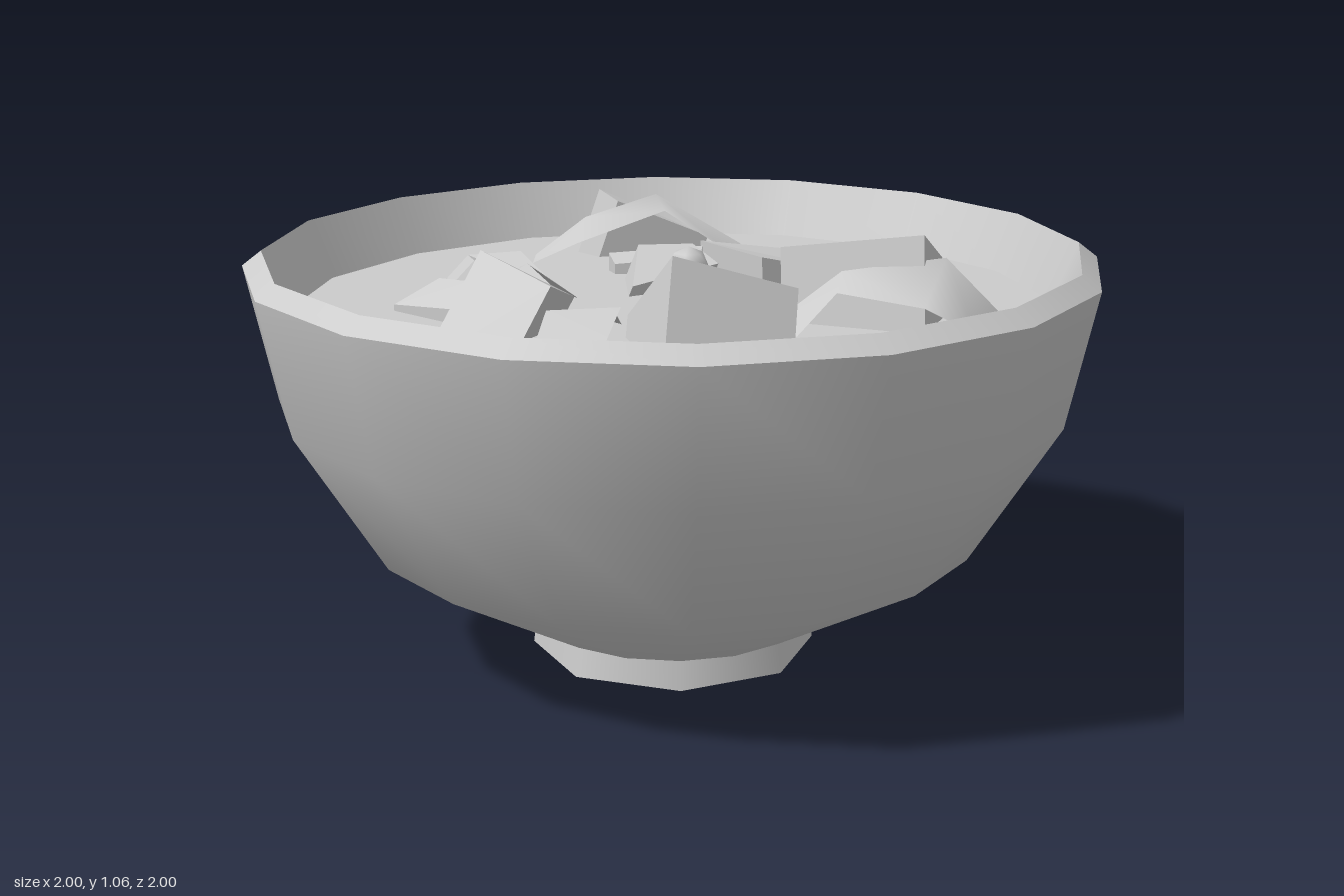
import * as THREE from 'three';

const smooth = new THREE.MeshStandardMaterial({ color: 0xcccccc });
const flat = new THREE.MeshStandardMaterial({ color: 0xcccccc, flatShading: true });
const thin = new THREE.MeshStandardMaterial({ color: 0xcccccc, side: THREE.DoubleSide });

export function createModel() {
  const model = new THREE.Group();
  const add = (name, geometry, material) => {
    const mesh = new THREE.Mesh(geometry, material);
    mesh.name = name;
    model.add(mesh);
    return mesh;
  };
  const lathe = (name, profile, sides, material) =>
    add(name, new THREE.LatheGeometry(profile.map(p => new THREE.Vector2(...p)), sides), material);

  // Bowl, split where its edges are sharp
  lathe('foot', [[0.34, 0], [0.33, 0.07]], 8, thin);
  lathe('bowlBase', [[0, 0.07], [0.33, 0.07]], 16, smooth);
  lathe('bowlOutside', [[0.33, 0.07], [0.72, 0.285], [0.93, 0.62], [1, 0.94]], 16, smooth);
  lathe('bowlRim', [[1, 0.94], [0.955, 0.975]], 16, smooth);
  lathe('bowlInside', [[0.955, 0.975], [0.895, 0.835]], 16, smooth);
  lathe('soup', [[0.895, 0.835], [0, 0.835]], 16, smooth);

  // Chunk: four top corners, clockwise from the back, swept down by a drop vector
  const chunk = (name, top, drop) => {
    const geometry = new THREE.BoxGeometry(1, 1, 1);
    const pos = geometry.attributes.position;
    for (let i = 0; i < pos.count; i++) {
      const right = pos.getX(i) > 0, near = pos.getZ(i) > 0;
      const corner = top[near ? (right ? 2 : 3) : (right ? 1 : 0)];
      const k = pos.getY(i) > 0 ? 0 : 1;
      pos.setXYZ(i, ...corner.map((c, a) => c + k * drop[a]));
    }
    geometry.computeVertexNormals();
    add(name, geometry, flat);
  };
  chunk('meatRightBack', [[0.18, 0.85, -0.33], [0.475, 0.89, -0.48], [0.58, 1.05, -0.19], [0.27, 1.0, -0.065]], [0.04, -0.25, 0.04]);
  chunk('meatBack', [[-0.12, 0.86, -0.605], [0.155, 0.85, -0.51], [0.065, 0.92, -0.245], [-0.215, 0.91, -0.34]], [0.01, -0.2, 0]);
  chunk('meatRightFront', [[0.28, 0.86, 0.045], [0.49, 0.97, 0.14], [0.35, 1.06, 0.39], [0.125, 0.88, 0.29]], [0.08, -0.24, 0.12]);
  chunk('potatoLeft', [[-0.49, 0.9, 0.02], [-0.18, 0.85, 0.165], [-0.385, 0.93, 0.275], [-0.605, 0.885, 0.09]], [-0.08, -0.2, 0.2]);
  chunk('potatoLeftBack', [[-0.43, 0.88, -0.55], [-0.34, 0.88, -0.51], [-0.48, 0.98, -0.32], [-0.56, 1.0, -0.335]], [-0.06, -0.25, 0.06]);
  chunk('smallSlice', [[-0.2, 0.9, -0.33], [-0.18, 0.88, -0.3], [-0.34, 0.86, -0.16], [-0.38, 0.88, -0.18]], [0, -0.15, 0]);
  chunk('carrotMiddle', [[-0.17, 0.92, -0.26], [-0.06, 0.89, -0.23], [-0.13, 0.86, 0], [-0.26, 0.92, -0.16]], [-0.06, -0.2, 0.05]);
  chunk('potatoFront', [[-0.2, 0.93, 0.36], [-0.03, 0.9, 0.3], [0.015, 0.95, 0.42], [-0.175, 1.01, 0.45]], [-0.04, -0.25, 0.16]);
  chunk('sliceFront', [[-0.37, 0.91, 0.4], [-0.26, 0.92, 0.41], [-0.23, 0.87, 0.48], [-0.44, 0.85, 0.48]], [0, -0.15, 0]);

  // Leaf: a thin curved strip between two edges
  const leaf = (name, edgeA, edgeB) => {
    const geometry = new THREE.PlaneGeometry(1, 1, 1, edgeA.length - 1);
    edgeA.forEach((p, i) => {
      geometry.attributes.position.setXYZ(2 * i, ...p);
      geometry.attributes.position.setXYZ(2 * i + 1, ...edgeB[i]);
    });
    geometry.computeVertexNormals();
    add(name, geometry, thin);
  };
  leaf('leafLeftBack',
    [[-0.57, 0.84, -0.1], [-0.42, 0.91, -0.11], [-0.3, 0.98, -0.3], [-0.2, 0.87, -0.43]],
    [[-0.64, 0.84, -0.18], [-0.5, 0.95, -0.22], [-0.44, 0.99, -0.42], [-0.245, 0.87, -0.53]]);
  leaf('leafRight',
    [[0.43, 0.84, 0.07], [0.47, 0.93, -0.02], [0.68, 0.92, -0.06], [0.735, 0.85, -0.18]],
    [[0.33, 0.86, 0], [0.42, 0.96, -0.1], [0.62, 1.0, -0.22], [0.69, 0.84, -0.37]]);
  leaf('leafFront',
    [[0.13, 0.84, 0.6], [0.02, 0.9, 0.44], [0.03, 0.88, 0.35], [0.06, 0.84, 0.24]],
    [[0.3, 0.84, 0.58], [0.18, 0.92, 0.37], [0.12, 0.9, 0.33], [0.07, 0.84, 0.25]]);
  leaf('leafFrontLeft',
    [[-0.24, 0.88, 0.43], [-0.13, 0.97, 0.35], [-0.05, 0.89, 0.27]],
    [[-0.3, 0.88, 0.37], [-0.2, 0.95, 0.28], [-0.16, 0.87, 0.21]]);

  // Pea
  add('pea', new THREE.SphereGeometry(0.052, 6, 4), smooth).position.set(-0.1, 0.885, -0.165);

  return model;
}
